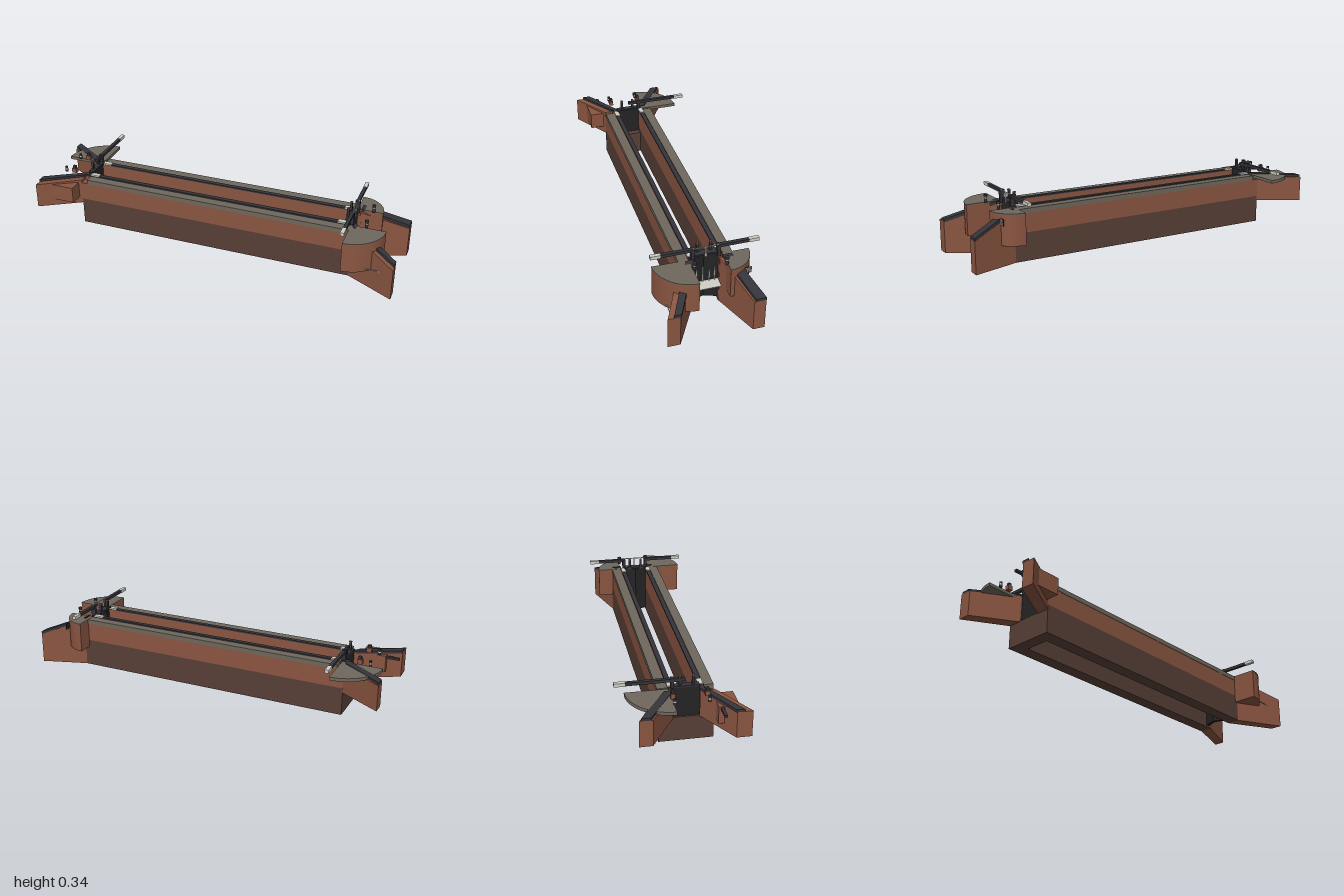
import * as THREE from 'three';

const mat = (name, color, side = THREE.FrontSide) => {
  const m = new THREE.MeshStandardMaterial({ color, side });
  m.name = name;
  return m;
};

export function createModel() {
  const root = new THREE.Group();
  root.name = 'canalLock';
  const brick = mat('brick', 0x8a5541);
  const wet = mat('dark wet brick', 0x573f36);
  const stone = mat('coping stone', 0x6f675c);
  const edge = mat('black edging', 0x34343a);
  const timber = mat('black gate timber', 0x242424);
  const white = mat('white paint', 0xd0d0c8);
  const blue = mat('blue sign', 0x3c4a66);

  const add = (name, geo, material) => {
    const m = new THREE.Mesh(geo, material);
    m.name = name;
    root.add(m);
    return m;
  };
  // Box given by its limits on each axis
  const box = (name, material, x0, x1, y0, y1, z0, z1) =>
    add(name, new THREE.BoxGeometry(x1 - x0, y1 - y0, z1 - z0)
      .translate((x0 + x1) / 2, (y0 + y1) / 2, (z0 + z1) / 2), material);
  // Box skewed between two ends: each end is [x, zMin, zMax, yBottom, yTop]
  const skew = (name, material, a, b) => {
    const g = new THREE.BoxGeometry(1, 1, 1).toNonIndexed();
    const p = g.attributes.position;
    for (let i = 0; i < p.count; i++) {
      const e = p.getX(i) < 0 ? a : b;
      p.setXYZ(i, e[0], p.getY(i) < 0 ? e[3] : e[4], p.getZ(i) < 0 ? e[1] : e[2]);
    }
    g.computeVertexNormals();
    return add(name, g, material);
  };
  // Quarter disc; start is the angle of its first side, seen from above
  const quarter = (name, material, x, z, r, start, y0, y1) => {
    const s = new THREE.Shape();
    s.moveTo(0, 0);
    s.absarc(0, 0, r, start, start + Math.PI / 2, false);
    s.lineTo(0, 0);
    const g = new THREE.ExtrudeGeometry(s, { depth: y1 - y0, bevelEnabled: false, curveSegments: 20 });
    return add(name, g.rotateX(-Math.PI / 2).translate(x, y0, z), material);
  };
  const post = (name, material, x, z, r, y0, y1) =>
    add(name, new THREE.CylinderGeometry(r, r, y1 - y0, 12).translate(x, (y0 + y1) / 2, z), material);

  // Chamber walls, mirrored about the middle of the channel
  const mid = 0.035;
  for (const s of [1, -1]) {
    const slab = (name, m, x0, x1, y0, y1, d0, d1) => {
      const a = mid + s * d0, b = mid + s * d1;
      return box(name, m, x0, x1, y0, y1, Math.min(a, b), Math.max(a, b));
    };
    slab('lowerWall', wet, -0.785, 0.755, 0, 0.15, 0.066, 0.136);
    slab('upperWall', brick, -0.785, 0.755, 0.15, 0.25, 0.066, 0.136);
    slab('wallTop', brick, -0.785, 0.735, 0.25, 0.272, 0.066, 0.09);
    slab('coping', stone, -0.75, 0.735, 0.25, 0.275, 0.09, 0.138);
    slab('wallEdging', edge, -0.785, 0.73, 0.272, 0.28, 0.062, 0.086);
    slab('edgeStoneLeft', white, -0.75, -0.7, 0.277, 0.284, 0.061, 0.087);
    slab('edgeStoneRight', white, 0.665, 0.72, 0.277, 0.284, 0.061, 0.087);
    // Bollards at both ends
    const z = mid + s * 0.082;
    post('bollard', edge, 0.815, z, 0.008, 0.275, 0.308);
    post('bollardBand', white, 0.815, z, 0.0085, 0.298, 0.302);
    post('bollardHead', edge, 0.815, z, 0.01, 0.308, 0.318);
    post('mooringPost', edge, -0.905, z, 0.008, 0.275, 0.305);
    post('mooringBand', white, -0.905, z, 0.0085, 0.288, 0.294);
    box('winchBox', brick, -0.865, -0.838, 0.28, 0.305, z - 0.011, z + 0.011);
    box('winchTop', edge, -0.86, -0.843, 0.305, 0.32, z - 0.008, z + 0.008);
  }
  box('upperSill', wet, -0.785, -0.72, 0, 0.13, -0.031, 0.101);

  // Wing walls: tall sloping ones at +x, hanging level ones at -x
  skew('frontRightWing', brick, [0.75, 0.1, 0.17, 0, 0.268], [1, 0.24, 0.303, 0, 0.17]);
  skew('frontRightWingCap', edge, [0.75, 0.098, 0.14, 0.266, 0.283], [1, 0.235, 0.272, 0.168, 0.185]);
  skew('backRightWing', brick, [0.75, -0.1, -0.03, 0, 0.268], [1, -0.181, -0.122, 0, 0.17]);
  skew('backRightWingCap', edge, [0.75, -0.092, -0.045, 0.266, 0.283], [1, -0.182, -0.13, 0.168, 0.185]);
  skew('frontLeftWing', brick, [-1, 0.225, 0.3, 0.125, 0.262], [-0.785, 0.1, 0.17, 0.125, 0.268]);
  skew('frontLeftWingCap', edge, [-1, 0.22, 0.26, 0.26, 0.275], [-0.785, 0.098, 0.13, 0.266, 0.28]);
  skew('backLeftWing', brick, [-1, -0.23, -0.165, 0.125, 0.262], [-0.785, -0.1, -0.03, 0.125, 0.268]);
  skew('backLeftWingCap', edge, [-1, -0.222, -0.175, 0.26, 0.275], [-0.785, -0.075, -0.03, 0.266, 0.28]);
  box('wingButtress', brick, -0.93, -0.8, 0.165, 0.255, 0.155, 0.255);
  box('wingLedge', edge, -1, -0.88, 0.238, 0.25, 0.165, 0.18);

  // Quarter-round platforms for the people pushing the beams
  quarter('frontRound', brick, 0.735, 0.122, 0.183, -Math.PI / 2, 0.11, 0.27);
  quarter('frontRoundTop', stone, 0.735, 0.122, 0.184, -Math.PI / 2, 0.27, 0.276);
  quarter('backRound', brick, 0.73, -0.05, 0.135, 0, 0.11, 0.27);
  quarter('backRoundTop', stone, 0.73, -0.05, 0.136, 0, 0.27, 0.276);
  quarter('upperRound', stone, -0.76, -0.05, 0.212, Math.PI / 2, 0.259, 0.276);

  // Lower gate: two leaves meeting in a shallow V
  for (const s of [1, -1]) {
    const zo = mid + s * 0.066, leafTop = 0.285;
    const near = [0.715, 0.735], apex = [0.69, 0.71];
    const sh = new THREE.Shape([[near[0], zo], [near[1], zo], [apex[1], mid], [apex[0], mid]]
      .map(([x, z]) => new THREE.Vector2(x, -z)));
    add('lowerGateLeaf', new THREE.ExtrudeGeometry(sh, { depth: leafTop - 0.012, bevelEnabled: false })
      .rotateX(-Math.PI / 2).translate(0, 0.012, 0), timber);
    box('gateHeelPost', edge, 0.72, 0.745, 0.27, 0.338, zo - 0.008, zo + 0.008);
    const end = s > 0 ? 0.312 : -0.236, tip = end - s * 0.051;
    box('balanceBeam', edge, 0.724, 0.742, 0.322, 0.338, Math.min(zo, tip), Math.max(zo, tip));
    box('beamTip', white, 0.723, 0.743, 0.321, 0.339, Math.min(end, tip), Math.max(end, tip));
    // Paddle gear posts
    const zp = mid + s * 0.033;
    box('paddlePost', edge, 0.7, 0.712, 0.28, 0.338, zp - 0.006, zp + 0.006);
    box('paddleCap', brick, 0.699, 0.713, 0.338, 0.343, zp - 0.006, zp + 0.006);
    // Handrail
    for (const z of [mid + s * 0.003, mid + s * 0.062]) {
      box('railPost', white, 0.737, 0.741, 0.28, 0.338, z - 0.002, z + 0.002);
    }
  }
  box('handrail', white, 0.737, 0.741, 0.335, 0.339, -0.03, 0.1);
  box('gateWalkway', edge, 0.7, 0.735, 0.285, 0.293, -0.03, 0.1);

  // Sheet below the gate with upright jets
  box('waterSheet', white, 0.735, 0.8, 0.127, 0.13, -0.03, 0.1);
  for (const [z, top] of [[0.08, 0.205], [0.049, 0.218], [0.016, 0.193], [-0.012, 0.205]]) {
    box('waterJet', white, 0.737, 0.743, 0.128, top, z - 0.003, z + 0.003);
  }

  // Upper gate with a single long beam
  box('upperGate', timber, -0.775, -0.755, 0.12, 0.285, -0.031, 0.101);
  box('upperWalkway', edge, -0.775, -0.745, 0.285, 0.293, -0.03, 0.1);
  box('upperHeelPost', edge, -0.772, -0.75, 0.27, 0.335, -0.04, -0.024);
  box('upperBeam', edge, -0.77, -0.752, 0.316, 0.332, -0.257, 0.03);
  box('upperBeamTip', white, -0.771, -0.751, 0.315, 0.333, -0.31, -0.257);
  for (const z of [0.07, 0.005]) {
    box('upperPaddlePost', edge, -0.768, -0.756, 0.285, 0.338, z - 0.006, z + 0.006);
    box('upperPaddleCap', brick, -0.769, -0.755, 0.338, 0.343, z - 0.006, z + 0.006);
  }

  // Grating, landing bar and sign on the round platforms
  box('gratingBack', timber, 0.838, 0.842, 0.218, 0.252, -0.163, -0.13);
  for (let i = 0; i < 4; i++) {
    for (let j = 0; j < 4; j++) {
      const y = 0.221 + i * 0.008, z = -0.16 + j * 0.008;
      box('gratingStud', white, 0.842, 0.845, y, y + 0.005, z, z + 0.005);
    }
  }
  box('landingBar', white, 0.83, 0.94, 0.123, 0.127, 0.262, 0.266);
  box('sign', blue, 0.895, 0.9, 0.128, 0.165, 0.185, 0.19);
  return root;
}
